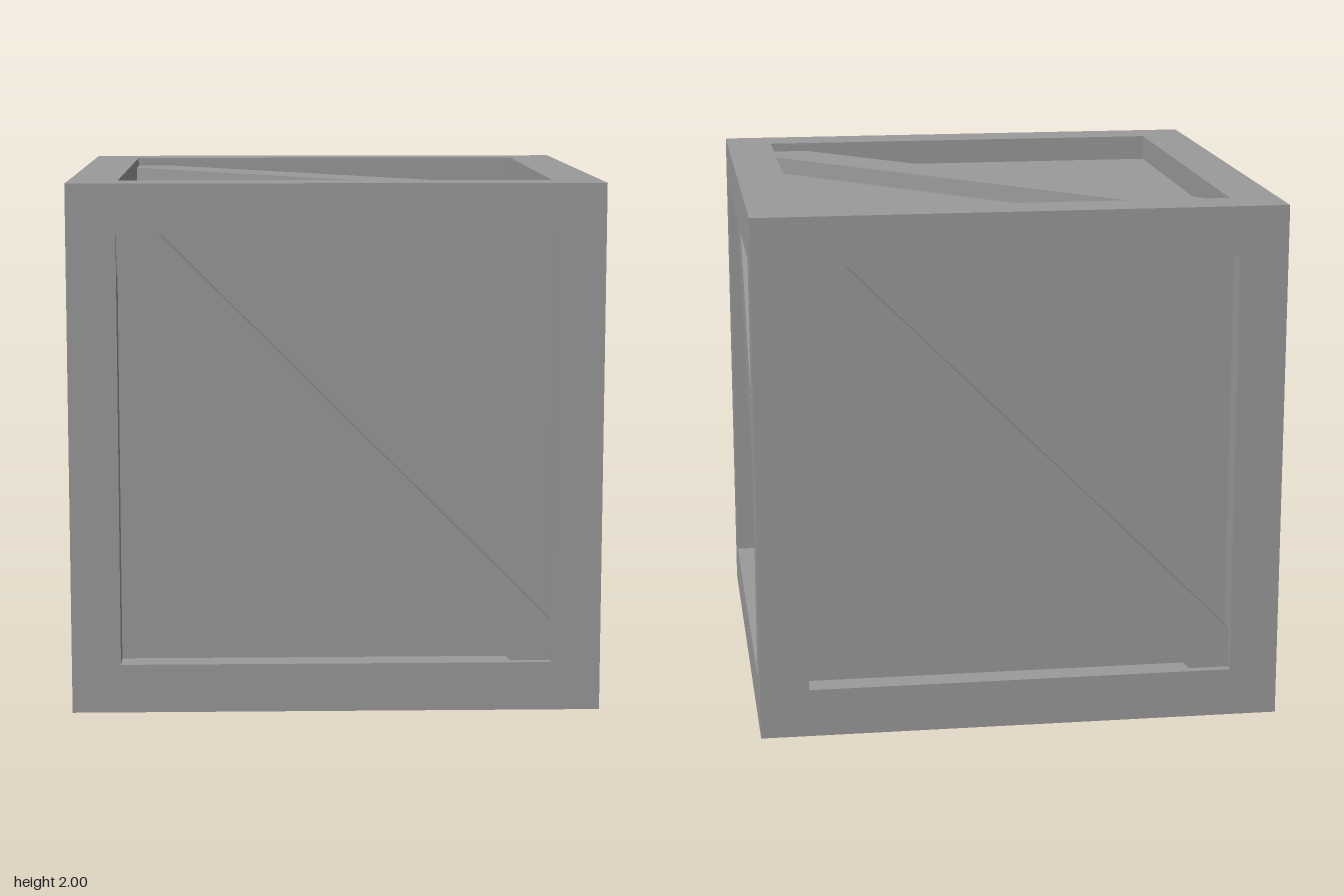
import * as THREE from 'three';

const HALF = 1;        // half of the crate's side
const OPEN = 0.815;    // half of the recessed opening
const PANEL = 0.9;     // distance of the panels from the centre
const BRACE = 0.966;   // distance of the brace fronts from the centre
const CUT = 0.154;     // half width of the brace, measured along an axis

const material = new THREE.MeshStandardMaterial({ color: 0x9b9b9b, flatShading: true });

function add(parent, name, geometry) {
  const mesh = new THREE.Mesh(geometry, material);
  mesh.name = name;
  parent.add(mesh);
  return mesh;
}

function square(Type, h) {
  return new Type([[-h, -h], [h, -h], [h, h], [-h, h]].map(([x, y]) => new THREE.Vector2(x, y)));
}

// One side of the crate, facing +z
function createSide(name) {
  const side = new THREE.Group();
  side.name = name;

  // Flat border around the opening
  const border = square(THREE.Shape, HALF);
  border.holes.push(square(THREE.Path, OPEN));
  add(side, 'frame', new THREE.ShapeGeometry(border)).position.z = HALF;

  // Inner edges of the frame, facing the middle of the opening
  for (let i = 0; i < 4; i++) {
    const edge = new THREE.PlaneGeometry(2 * OPEN, HALF - PANEL);
    edge.rotateX(-Math.PI / 2).translate(0, -OPEN, (HALF + PANEL) / 2).rotateZ(i * Math.PI / 2);
    add(side, 'frameEdge', edge);
  }

  // Recessed panel
  add(side, 'panel', new THREE.PlaneGeometry(2 * OPEN, 2 * OPEN)).position.z = PANEL;

  // Diagonal brace, its ends fitted into two corners of the opening
  const a = OPEN, b = OPEN - CUT;
  const outline = new THREE.Shape(
    [[-a, a], [-a, b], [b, -a], [a, -a], [a, -b], [-b, a]].map(([x, y]) => new THREE.Vector2(x, y)));
  const brace = new THREE.ExtrudeGeometry(outline, { depth: BRACE - PANEL, bevelEnabled: false });
  add(side, 'brace', brace).position.z = PANEL;
  return side;
}

export function createModel() {
  const crate = new THREE.Group();
  crate.name = 'crate';
  const q = Math.PI / 2;
  const sides = [
    ['frontSide', 0, 0], ['leftSide', 0, q], ['backSide', 0, 2 * q], ['rightSide', 0, -q],
    ['topSide', -q, 0], ['bottomSide', q, 0],
  ];
  for (const [name, rx, ry] of sides) {
    const side = createSide(name);
    side.rotation.set(rx, ry, 0);
    side.position.y = HALF;
    crate.add(side);
  }
  return crate;
}
